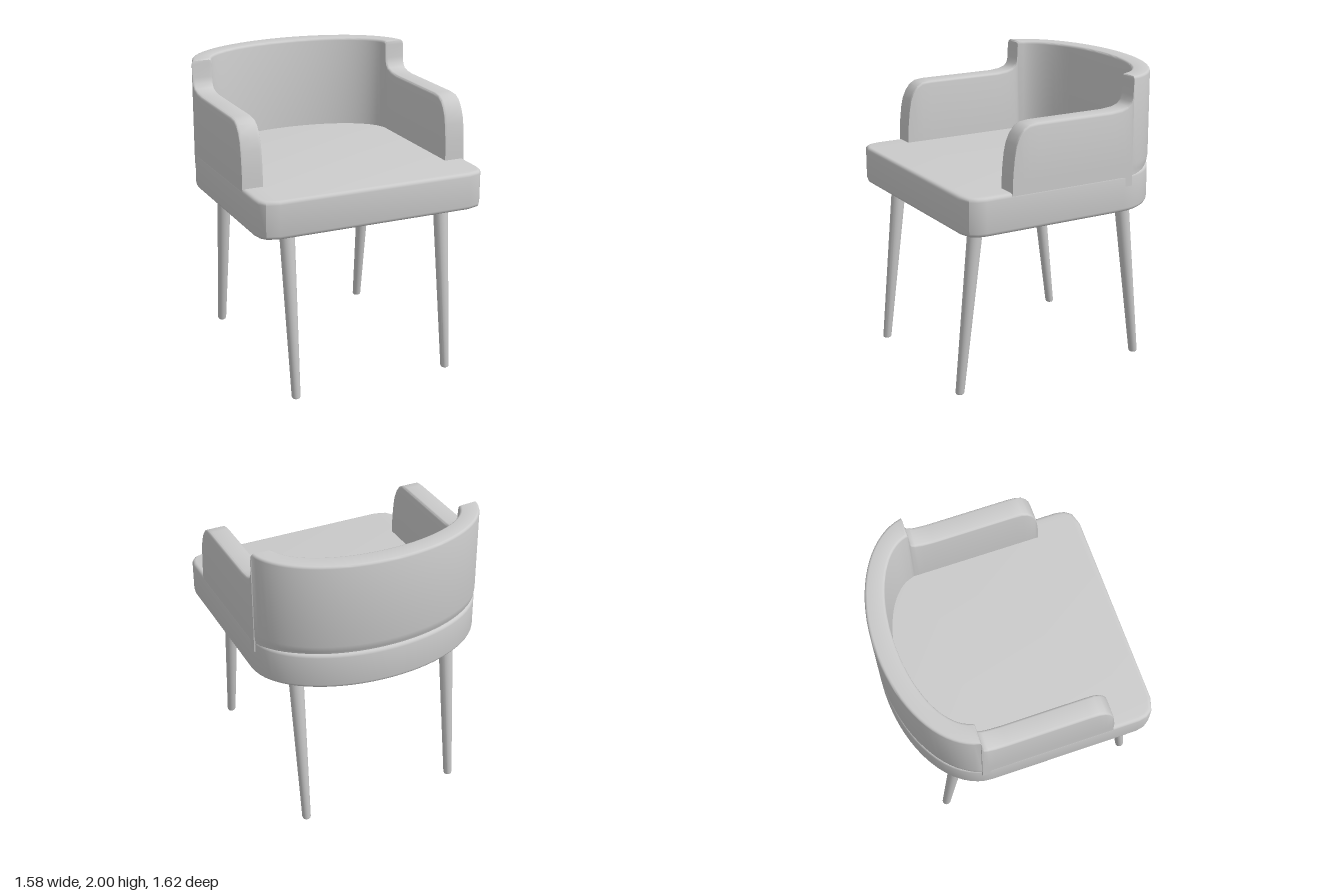
import * as THREE from 'three';
import { toCreasedNormals } from 'three/addons/utils/BufferGeometryUtils.js';

const material = new THREE.MeshStandardMaterial({ color: 0xcccccc });

function part(name, geometry) {
  const mesh = new THREE.Mesh(geometry, material);
  mesh.name = name;
  return mesh;
}

// Upholstered seat: D-shaped outline with an elliptical back and clipped front corners
function seat() {
  const bevel = 0.025, inset = 1 - bevel / 0.8;
  const outline = [];
  for (let i = 0; i <= 32; i++) {
    const t = Math.PI * i / 32;
    outline.push([0.79 * Math.cos(t), -0.33 - 0.48 * Math.sin(t)]);
  }
  outline.push([-0.79, 0.7], [-0.78, 0.75], [-0.755, 0.785], [-0.68, 0.808],
    [0.68, 0.808], [0.755, 0.785], [0.78, 0.75], [0.79, 0.7]);
  const shape = new THREE.Shape(outline.map(([x, z]) => new THREE.Vector2(x * inset, -z * inset)));
  const geometry = new THREE.ExtrudeGeometry(shape, {
    depth: 0.25 - 2 * bevel, bevelThickness: bevel, bevelSize: bevel, bevelSegments: 4,
  });
  geometry.rotateX(-Math.PI / 2).translate(0, 1.12 + bevel, 0);
  return part('seat', toCreasedNormals(geometry, 0.6));
}

// Backrest and arms: one rounded wall section swept round a U, its height stepping down to the arms
function shell() {
  // Arm silhouette from front to back: z, top height
  const arm = [[0.503, 1.31], [0.5, 1.4], [0.497, 1.5], [0.485, 1.61], [0.472, 1.67], [0.45, 1.72],
    [0.42, 1.76], [0.38, 1.783], [0.32, 1.79], [0, 1.79], [-0.22, 1.79], [-0.3, 1.798],
    [-0.345, 1.813], [-0.37, 1.84], [-0.38, 1.88], [-0.384, 1.97], [-0.387, 1.992]];
  const side = (sx) => arm.map(([z, h]) => ({ outer: [sx * 0.789, z], inner: [sx * 0.65, z], h, groove: 0 }));
  const arc = [];
  for (let i = 0; i <= 36; i++) {
    const t = 0.125 + (Math.PI - 0.25) * i / 36, c = Math.cos(t), s = Math.sin(t);
    arc.push({
      outer: [0.79 * c, -0.33 - 0.48 * s], inner: [0.65 * c, -0.36 - 0.32 * s],
      h: 2, groove: 0.022 * Math.min(1, 1.5 * s),
    });
  }
  const stations = [...side(1), ...arc, ...side(-1).reverse()];

  const positions = [], index = [], r = 0.018;
  let ring = 0;
  for (const { outer, inner, h, groove } of stations) {
    const width = Math.hypot(outer[0] - inner[0], outer[1] - inner[1]);
    // Section points: inset from the outer face, height
    const section = [[groove, 1.29], [groove, 1.365], [groove * 0.35, 1.39], [0, 1.43]];
    for (let k = 0; k <= 3; k++) {
      const a = Math.PI / 2 * k / 3;
      section.push([r * (1 - Math.cos(a)), h - r + r * Math.sin(a)]);
    }
    for (let k = 3; k >= 0; k--) {
      const a = Math.PI / 2 * k / 3;
      section.push([width - r * (1 - Math.cos(a)), h - r + r * Math.sin(a)]);
    }
    section.push([width, 1.29]);
    ring = section.length;
    section.forEach(([d, y], k) => {
      const f = d / width;
      positions.push(outer[0] + (inner[0] - outer[0]) * f, k < 4 ? Math.min(y, h - r) : y,
        outer[1] + (inner[1] - outer[1]) * f);
    });
  }
  for (let i = 0; i < stations.length - 1; i++) {
    for (let j = 0; j < ring; j++) {
      const a = i * ring + j, b = i * ring + (j + 1) % ring;
      index.push(a, a + ring, b, b, a + ring, b + ring);
    }
  }
  const geometry = new THREE.BufferGeometry();
  geometry.setAttribute('position', new THREE.Float32BufferAttribute(positions, 3));
  geometry.setIndex(index);
  return part('backrestAndArms', toCreasedNormals(geometry, 0.6));
}

// Tapered round leg, sheared so that it leans out while its foot stays level
function leg(name, sx, topZ, footZ) {
  const profile = [[0, 0], [0.02, 0], [0.026, 0.004], [0.029, 0.014], [0.05, 1.14]]
    .map(([x, y]) => new THREE.Vector2(x, y));
  const geometry = new THREE.LatheGeometry(profile, 20);
  const p = geometry.attributes.position;
  for (let i = 0; i < p.count; i++) {
    const f = p.getY(i) / 1.12;
    p.setXYZ(i, p.getX(i) + sx * (0.547 + 0.001 * f), p.getY(i), p.getZ(i) + footZ + (topZ - footZ) * f);
  }
  return part(name, toCreasedNormals(geometry, 0.6));
}

export function createModel() {
  const model = new THREE.Group();
  model.name = 'armchair';
  model.add(seat(), shell());
  for (const [label, sx] of [['Left', 1], ['Right', -1]]) {
    model.add(leg('front' + label + 'Leg', sx, 0.63, 0.757));
    model.add(leg('rear' + label + 'Leg', sx, -0.475, -0.605));
  }
  return model;
}
